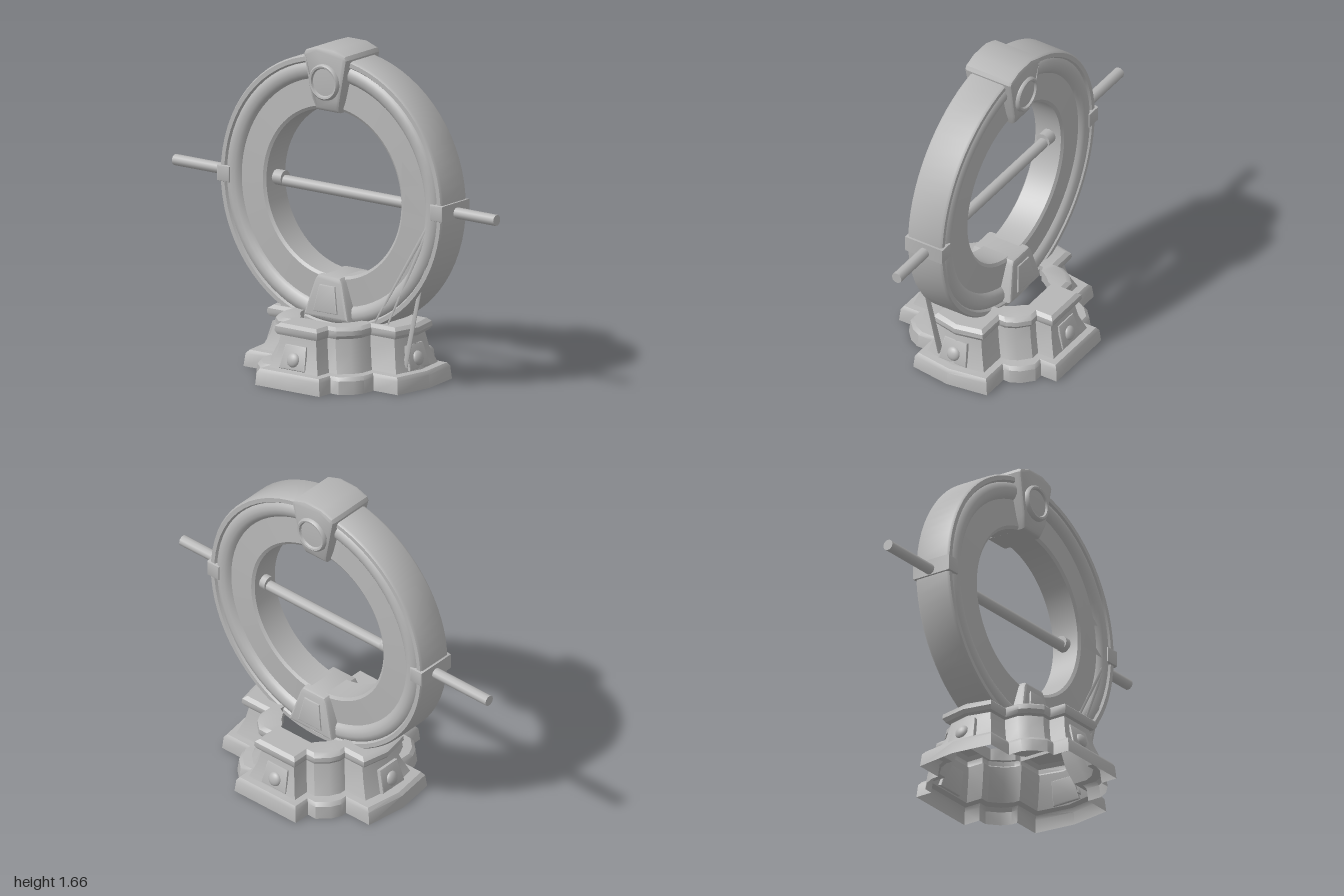
import * as THREE from 'three';
import { toCreasedNormals } from 'three/addons/utils/BufferGeometryUtils.js';

const CX = 0.05, BASE_X = 0.062, RING_Y = 0.925;

export function createModel() {
  const model = new THREE.Group();
  const stone = new THREE.MeshStandardMaterial({ color: 0xb6b6b6, side: THREE.DoubleSide });
  stone.name = 'grey stone';

  function add(name, geo, x = 0, y = 0, z = 0, parent = model) {
    const mesh = new THREE.Mesh(geo, stone);
    mesh.name = name;
    mesh.position.set(x, y, z);
    parent.add(mesh);
    return mesh;
  }

  // Bevelled plate from an outline, centred on z = 0; depthAt(y) scales its thickness
  function plate(points, depth, bevel, depthAt = () => 1) {
    const shape = new THREE.Shape(points.map(p => new THREE.Vector2(...p)));
    const geo = new THREE.ExtrudeGeometry(shape, {
      depth: depth - 2 * bevel, bevelThickness: bevel, bevelSize: bevel,
      bevelOffset: -bevel, bevelSegments: 2
    });
    geo.translate(0, 0, bevel - depth / 2);
    const pos = geo.attributes.position;
    for (let i = 0; i < pos.count; i++) pos.setZ(i, pos.getZ(i) * depthAt(pos.getY(i)));
    return toCreasedNormals(geo, 0.6);
  }

  // Straight tapered bar between two points
  function bar(name, from, to, r0, r1, sides = 6) {
    const a = new THREE.Vector3(...from), b = new THREE.Vector3(...to);
    const dir = b.clone().sub(a);
    const mesh = add(name, new THREE.CylinderGeometry(r1, r0, dir.length(), sides));
    mesh.position.copy(a).add(b).multiplyScalar(0.5);
    mesh.quaternion.setFromUnitVectors(new THREE.Vector3(0, 1, 0), dir.normalize());
    return mesh;
  }

  // Base: one quarter of the cross-shaped plan, mirrored, then lofted upward
  const outer = [[0.51, 0], [0.48, 0.215], [0.33, 0.215], [0.33, 0.27], [0.305, 0.32],
    [0.25, 0.37], [0.2, 0.37], [0.2, 0.46], [0, 0.46]];
  const inner = [[0.2, 0], [0.2, 0.1], [0.18, 0.11], [0.17, 0.13], [0.16, 0.15],
    [0.14, 0.18], [0.11, 0.21], [0.1, 0.23], [0, 0.23]];
  function plan(quarter, inset, y) {
    const q = quarter.map(([x, z]) => [x && x - inset, z && z - inset]);
    // the side arms sit slightly back, and the right one leans in a little more
    const at = (i, sx, sz) => new THREE.Vector3(
      BASE_X + sx * q[i][0] + (sx < 0 && i < 2 ? inset * 0.35 : 0),
      y, sz * q[i][1] - (i < 3 ? 0.02 : 0));
    const ring = [];
    for (let i = 0; i <= 8; i++) ring.push(at(i, 1, 1));
    for (let i = 7; i >= 0; i--) ring.push(at(i, -1, 1));
    for (let i = 1; i <= 8; i++) ring.push(at(i, -1, -1));
    for (let i = 7; i >= 1; i--) ring.push(at(i, 1, -1));
    return ring;
  }
  function loft(rings) {
    const pos = [];
    for (let r = 0; r + 1 < rings.length; r++) {
      const lo = rings[r], hi = rings[r + 1], n = lo.length;
      for (let i = 0; i < n; i++) {
        const j = (i + 1) % n;
        for (const v of [lo[i], hi[i], lo[j], hi[i], hi[j], lo[j]]) pos.push(v.x, v.y, v.z);
      }
    }
    const geo = new THREE.BufferGeometry();
    geo.setAttribute('position', new THREE.Float32BufferAttribute(pos, 3));
    return toCreasedNormals(geo, 0.6);
  }
  const baseProfile = [[0, 0], [0.006, 0.065], [0.018, 0.083], [0.05, 0.087], [0.08, 0.17],
    [0.095, 0.25], [0.078, 0.254], [0.068, 0.272], [0.07, 0.295], [0.088, 0.311]];
  const rings = baseProfile.map(([inset, y]) => plan(outer, inset, y));
  rings.push(plan(inner, 0, 0.311), plan(inner, 0, 0.25));
  add('base', loft(rings));

  // Sloping panel with a round stud on each arm of the base
  const arms = [[0, 0, 0.385], [Math.PI / 2, 0.437, -0.015],
    [Math.PI, 0, -0.385], [-Math.PI / 2, -0.41, -0.015]];
  for (const [turn, x, z] of arms) {
    const panel = new THREE.Group();
    panel.name = 'basePanel';
    panel.position.set(BASE_X - 0.01 + x, 0.15, z);
    panel.rotation.set(-0.28, turn, 0, 'YXZ');
    add('panelPlate', plate([[-0.08, -0.062], [0.08, -0.062], [0.065, 0.062], [-0.065, 0.062]],
      0.025, 0.006), 0, 0, 0, panel);
    add('panelStud', new THREE.SphereGeometry(0.037, 20, 12), 0, -0.012, 0.01, panel)
      .scale.z = 0.6;
    model.add(panel);
  }

  // Main ring: rim, round moulding, step and recessed face on both sides
  const face = [[0.692, 0.088], [0.684, 0.1], [0.662, 0.1], [0.654, 0.088], [0.644, 0.098],
    [0.622, 0.105], [0.598, 0.1], [0.582, 0.09], [0.572, 0.076], [0.435, 0.084], [0.42, 0.074]];
  const profile = [...face, ...face.map(([r, z]) => [r, -z]).reverse(), face[0]]
    .map(p => new THREE.Vector2(...p));
  const ringGeo = new THREE.LatheGeometry(profile, 72);
  ringGeo.rotateX(Math.PI / 2);
  add('ring', toCreasedNormals(ringGeo, 0.6), CX, RING_Y, 0);

  // Keystone at the top, thinner at its lower tip, with a medallion on each side
  const keyX = 0.04;
  add('keystone', plate([[-0.07, 1.337], [0.07, 1.337], [0.09, 1.4], [0.135, 1.615],
    [0.125, 1.635], [0.055, 1.66], [-0.055, 1.66], [-0.125, 1.635], [-0.135, 1.615],
    [-0.09, 1.4]], 0.276, 0.018, y => THREE.MathUtils.mapLinear(Math.min(y, 1.42), 1.337, 1.42, 0.83, 1)),
  keyX, 0, 0);
  const disc = new THREE.LatheGeometry([[0.092, 0], [0.09, 0.015], [0.082, 0.023], [0.073, 0.021],
    [0.068, 0.011], [0, 0.015]].map(p => new THREE.Vector2(...p)), 36);
  disc.rotateX(Math.PI / 2);
  for (const s of [1, -1]) {
    const medallion = add('medallion', toCreasedNormals(disc, 0.7), keyX, 1.49, s * 0.13);
    if (s < 0) medallion.rotation.y = Math.PI;
  }

  // Footstone where the ring meets the base, sloping inward toward the top
  const footSlope = y => THREE.MathUtils.mapLinear(y, 0.3, 0.505, 1.06, 0.88);
  add('footstone', plate([[-0.14, 0.3], [0.14, 0.3], [0.085, 0.485], [0.07, 0.508],
    [-0.07, 0.508], [-0.085, 0.485]], 0.272, 0.015, footSlope), CX, 0, 0);
  add('footstonePanels', plate([[-0.075, 0.33], [0.075, 0.33], [0.048, 0.465], [-0.048, 0.465]],
    0.288, 0.006, footSlope), CX, 0, 0);

  // Axle with inner collars and outer clamps
  bar('axle', [-1, 0.913, -0.006], [1, 0.913, -0.006], 0.028, 0.028, 10);
  for (const s of [1, -1]) {
    const x = 0.06 + s * 0.405;
    bar('axleCollar', [x - 0.03, 0.925, -0.006], [x + 0.03, 0.925, -0.006], 0.038, 0.038, 12);
    add('ringClamp', plate([[-0.04, -0.042], [0.04, -0.042], [0.04, 0.04], [-0.04, 0.04]],
      0.224, 0.01), CX + s * 0.662, 0.925, 0);
  }

  // Flat thin stays running from the left clamp down to the base
  const anchor = [0.69, 0.91, 0.095];
  for (const [foot, r0, r1] of [[[0.49, 0.11, 0.07], 0.01, 0.018],
    [[0.33, 0.32, 0.105], 0.012, 0.005], [[0.41, 0.32, 0.105], 0.012, 0.005]]) {
    bar('stay', anchor, foot, r0, r1).scale.z = 0.3;
  }

  // Small loose shards on the ring face
  const shards = new THREE.BufferGeometry();
  shards.setAttribute('position', new THREE.Float32BufferAttribute([
    0.49, 1.15, 0.095, 0.48, 1.02, 0.09, 0.6, 1.05, 0.1,
    0.49, 0.9, 0.09, 0.64, 0.89, 0.1, 0.51, 0.99, 0.095], 3));
  shards.computeVertexNormals();
  add('shards', shards);

  return model;
}
